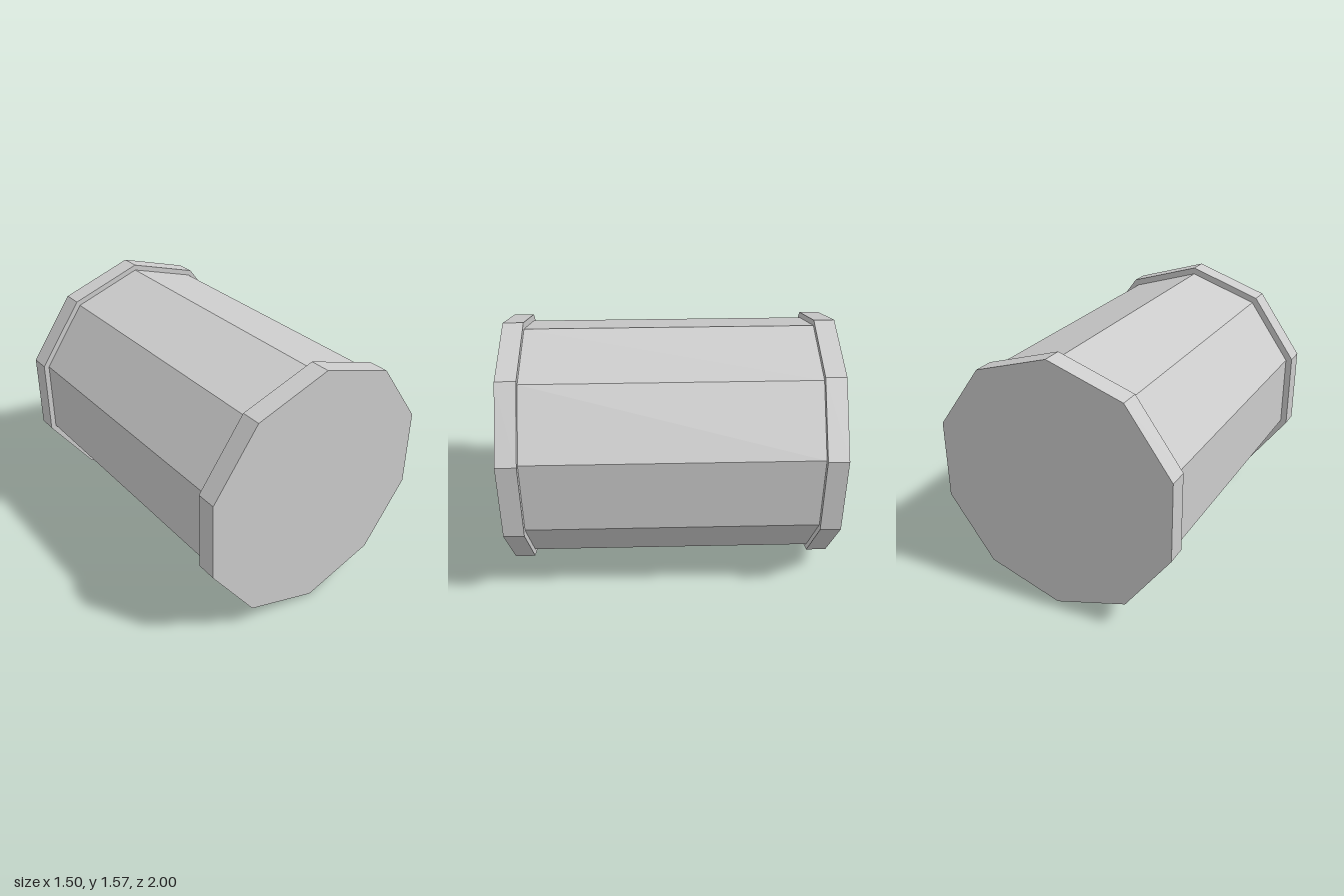
import * as THREE from 'three';

const SIDES = 10;
const CENTRE_Y = 0.787;

export function createModel() {
  const group = new THREE.Group();
  const material = new THREE.MeshStandardMaterial({ color: 0xcccccc, flatShading: true });

  // Ten-sided prism along z, with a corner at the top and bottom
  function addPrism(name, radius, zBack, zFront) {
    const geometry = new THREE.CylinderGeometry(radius, radius, zFront - zBack, SIDES);
    geometry.rotateX(Math.PI / 2);
    const mesh = new THREE.Mesh(geometry, material);
    mesh.name = name;
    mesh.position.set(0, CENTRE_Y, (zBack + zFront) / 2);
    group.add(mesh);
  }

  // Long barrel between two slightly wider end caps
  addPrism('barrel', 0.745, -0.876, 0.876);
  addPrism('frontCap', 0.787, 0.876, 1);
  addPrism('backCap', 0.78, -1, -0.876);

  return group;
}
